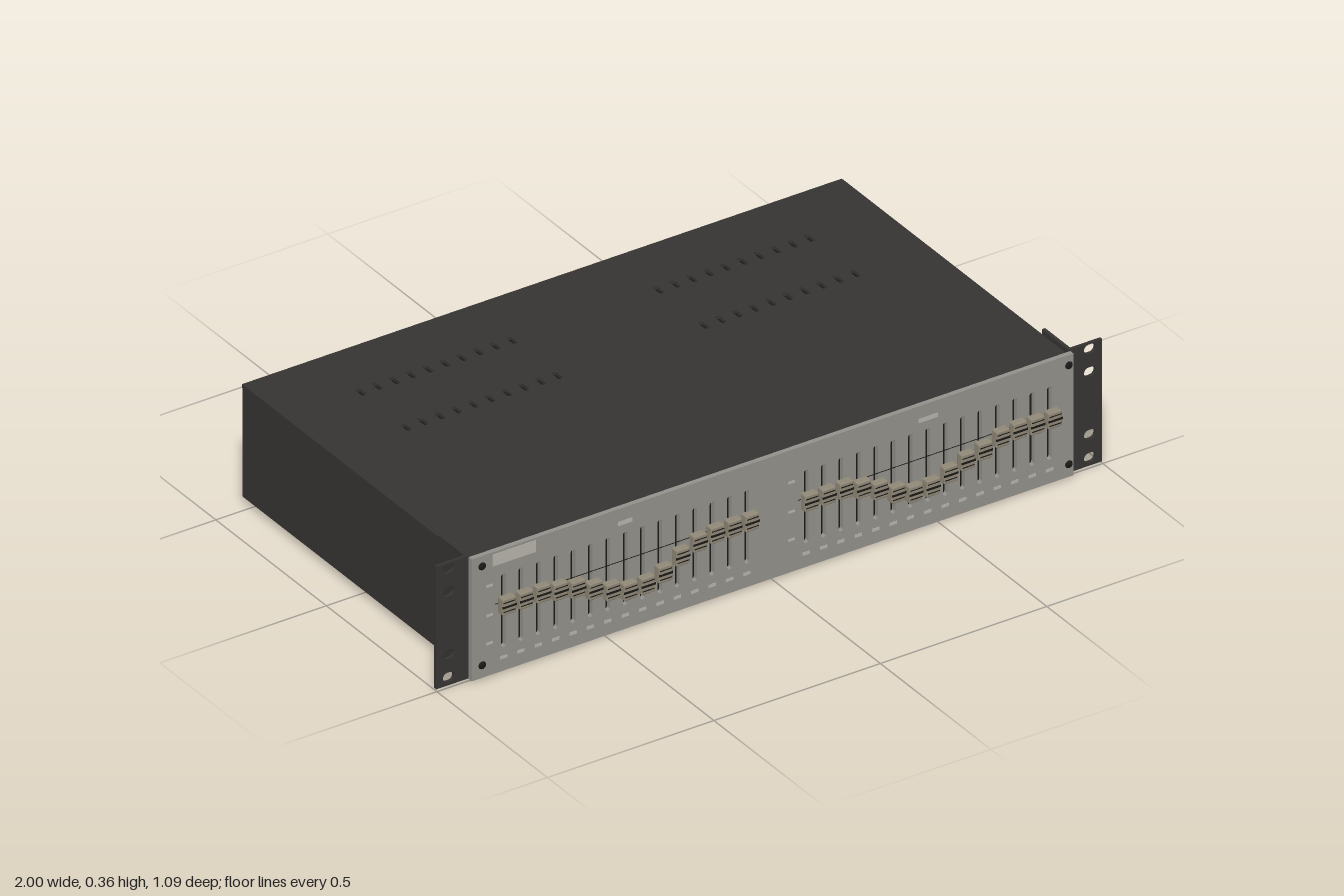
import * as THREE from 'three';
import { RoundedBoxGeometry } from 'three/addons/geometries/RoundedBoxGeometry.js';

const mat = (color) => new THREE.MeshStandardMaterial({ color });
const M = {
  body: mat(0x353432), dark: mat(0x181817), panel: mat(0x92908a),
  knob: mat(0x8f8776), label: mat(0xb5b2a8), metal: mat(0xa09e98),
};

export function createModel() {
  const root = new THREE.Group();

  const add = (name, geo, material, x, y, z, parent = root) => {
    const m = new THREE.Mesh(geo, material);
    m.name = name;
    m.position.set(x, y, z);
    parent.add(m);
    return m;
  };
  const box = (name, w, h, d, material, x, y, z, parent) =>
    add(name, new THREE.BoxGeometry(w, h, d), material, x, y, z, parent);
  // Cylinder or disc whose axis runs along z
  const disc = (name, r, d, material, x, y, z, parent, n = 20) =>
    add(name, new THREE.CylinderGeometry(r, r, d, n).rotateX(Math.PI / 2), material, x, y, z, parent);
  const rect = (x0, y0, x1, y1) => new THREE.Shape([
    new THREE.Vector2(x0, y0), new THREE.Vector2(x1, y0),
    new THREE.Vector2(x1, y1), new THREE.Vector2(x0, y1)]);
  // Rounded slot of overall size w by h, centred on x, y
  const slot = (x, y, w, h) => {
    const p = new THREE.Path(), r = Math.min(w, h) / 2, a = w / 2 - r, b = h / 2 - r;
    if (h >= w) {
      p.absarc(x, y + b, r, 0, Math.PI, false);
      p.absarc(x, y - b, r, Math.PI, Math.PI * 2, false);
    } else {
      p.absarc(x + a, y, r, -Math.PI / 2, Math.PI / 2, false);
      p.absarc(x - a, y, r, Math.PI / 2, Math.PI * 1.5, false);
    }
    p.closePath();
    return p;
  };
  const plate = (shape, depth) =>
    new THREE.ExtrudeGeometry(shape, { depth, bevelEnabled: false, curveSegments: 6 });
  const screw = (x, y, z, s, parent = root) => {
    const g = new THREE.Group();
    g.name = 'screw';
    g.position.set(x, y, z);
    g.scale.z = s;
    parent.add(g);
    const head = new THREE.SphereGeometry(0.011, 14, 6, 0, Math.PI * 2, 0, Math.PI / 2);
    head.rotateX(Math.PI / 2).scale(1, 1, 0.6);
    // the rear heads are turned rather than mirrored
    if (s < 0) { g.scale.z = 1; g.rotation.y = Math.PI; }
    add('screwHead', head, s < 0 ? M.body : M.dark, 0, 0, 0, g);
  };

  // Chassis, with a separate slotted lid
  box('chassis', 1.8, 0.318, 1.03, M.body, 0, 0.179, -0.015);
  const lid = rect(-0.901, -0.5, 0.901, 0.531);
  for (const z of [-0.335, -0.13])
    for (const start of [-0.674, 0.22])
      for (let i = 0; i < 10; i++) lid.holes.push(slot(start + i * 0.0504, -z, 0.014, 0.038));
  add('ventedLid', plate(lid, 0.01).rotateX(-Math.PI / 2), M.body, 0, 0.338, 0);
  for (const z of [-0.335, -0.13])
    for (const s of [-1, 1]) box('ventShadow', 0.5, 0.002, 0.06, M.dark, s * 0.447, 0.338, z);

  // Front panel with slider slots
  const sliderX = [];
  for (const start of [-0.81, 0.099])
    for (let i = 0; i < 15; i++) sliderX.push(start + i * 0.0522);
  const face = rect(-0.905, 0.006, 0.902, 0.362);
  for (const x of sliderX) face.holes.push(slot(x, 0.182, 0.014, 0.214));
  add('frontPanel', plate(face, 0.014), M.panel, 0, 0, 0.501);
  box('panelBacking', 1.8, 0.35, 0.003, M.dark, 0, 0.183, 0.4995);
  for (const x of [-0.874, 0.888])
    for (const y of [0.043, 0.332]) screw(x, y, 0.515, 1);

  // Slider knobs set along a curve
  const levels = [
    0.208, 0.208, 0.208, 0.198, 0.187, 0.166, 0.145, 0.129, 0.129, 0.145, 0.177, 0.2, 0.208, 0.208, 0.208,
    0.208, 0.208, 0.208, 0.193, 0.172, 0.145, 0.129, 0.129, 0.15, 0.17, 0.183, 0.203, 0.208, 0.205, 0.205];
  const capGeo = new RoundedBoxGeometry(0.041, 0.048, 0.024, 2, 0.004);
  sliderX.forEach((x, i) => {
    const g = new THREE.Group();
    g.name = 'slider';
    g.position.set(x, levels[i], 0);
    root.add(g);
    add('sliderKnob', capGeo, M.knob, 0, 0, 0.531, g);
    box('sliderStem', 0.01, 0.022, 0.022, M.dark, 0, 0, 0.51, g);
    box('knobLine', 0.042, 0.006, 0.002, M.dark, 0, 0, 0.5428, g);
    for (const s of [-1, 1]) box('knobRidge', 0.036, 0.003, 0.002, M.dark, 0, s * 0.013, 0.5423, g);
    box('bandMark', 0.022, 0.009, 0.002, M.label, x, 0.046, 0.515, root);
  });

  // Plain printed marks on the panel
  box('panelPlate', 0.13, 0.034, 0.003, M.label, -0.778, 0.338, 0.515);
  box('groupMark', 0.043, 0.012, 0.002, M.label, -0.445, 0.319, 0.515);
  box('groupMark', 0.058, 0.012, 0.002, M.label, 0.465, 0.319, 0.515);
  for (const x of [-0.852, 0.055])
    for (const y of [0.268, 0.182, 0.1]) box('scaleMark', 0.02, 0.007, 0.002, M.label, x, y, 0.515);
  for (const x of [-0.445, 0.465]) box('centreLine', 0.78, 0.002, 0.001, M.dark, x, 0.208, 0.515);

  // Angled rack ears: drilled front plate and side flange
  for (const s of [-1, 1]) {
    const ear = new THREE.Group();
    ear.name = s > 0 ? 'leftRackEar' : 'rightRackEar';
    root.add(ear);
    const shape = rect(s > 0 ? 0.9 : -1, 0.005, s > 0 ? 1 : -0.9, 0.363);
    for (const y of [0.029, 0.096, 0.279, 0.346]) shape.holes.push(slot(s * 0.963, y, 0.034, 0.027));
    add('earPlate', plate(shape, 0.009), M.body, 0, 0, 0.488, ear);
    box('earFlange', 0.01, 0.358, 0.122, M.body, s * 0.905, 0.184, 0.436, ear);
  }

  // Rubber feet
  const foot = [[0, 0.022], [0.036, 0.022], [0.036, 0.006], [0.031, 0], [0.014, 0], [0.012, 0.008], [0, 0.008]]
    .map(([r, y]) => new THREE.Vector2(r, y)).reverse();
  for (const x of [-0.76, 0.76])
    for (const z of [-0.435, 0.395]) {
      const f = add('foot', new THREE.LatheGeometry(foot, 24), M.dark, x, 0, z);
      f.material = M.dark.clone();
      f.material.side = THREE.DoubleSide;
      f.material.flatShading = true;
    }

  // Rear corner screws
  for (const x of [-0.86, 0.86])
    for (const y of [0.06, 0.31]) screw(x, y, -0.53, -1);

  // Rear power inlet
  const inlet = new THREE.Group();
  inlet.name = 'powerInlet';
  inlet.position.set(0.745, 0.167, -0.53);
  root.add(inlet);
  const flange = rect(-0.094, -0.053, 0.094, 0.053);
  flange.holes.push(rect(-0.052, -0.034, 0.052, 0.034));
  add('inletFlange', plate(flange, 0.01), M.dark, 0, 0, -0.01, inlet);
  box('inletRecess', 0.104, 0.068, 0.002, M.body, 0, 0, -0.001, inlet);
  for (const [x, y] of [[-0.026, -0.006], [0, 0.01], [0.026, -0.006]])
    box('inletPin', 0.007, 0.018, 0.008, M.metal, x, y, -0.005, inlet);
  for (const s of [-1, 1]) screw(s * 0.074, 0, -0.009, -1, inlet);
  box('inletMark', 0.045, 0.01, 0.002, M.label, 0.745, 0.247, -0.531);

  // Rear signal jacks
  for (const x of [-0.62, -0.417]) {
    const jack = new THREE.Group();
    jack.name = 'signalJack';
    jack.position.set(x, 0.18, -0.53);
    root.add(jack);
    disc('jackNut', 0.025, 0.008, M.metal, 0, 0, -0.004, jack, 6);
    add('jackCollar', new THREE.TorusGeometry(0.016, 0.005, 8, 24), M.metal, 0, 0, -0.009, jack);
    disc('jackHole', 0.013, 0.003, M.dark, 0, 0, -0.0085, jack);
    box('jackMark', 0.058, 0.01, 0.002, M.label, x, 0.235, -0.531);
  }
  return root;
}
